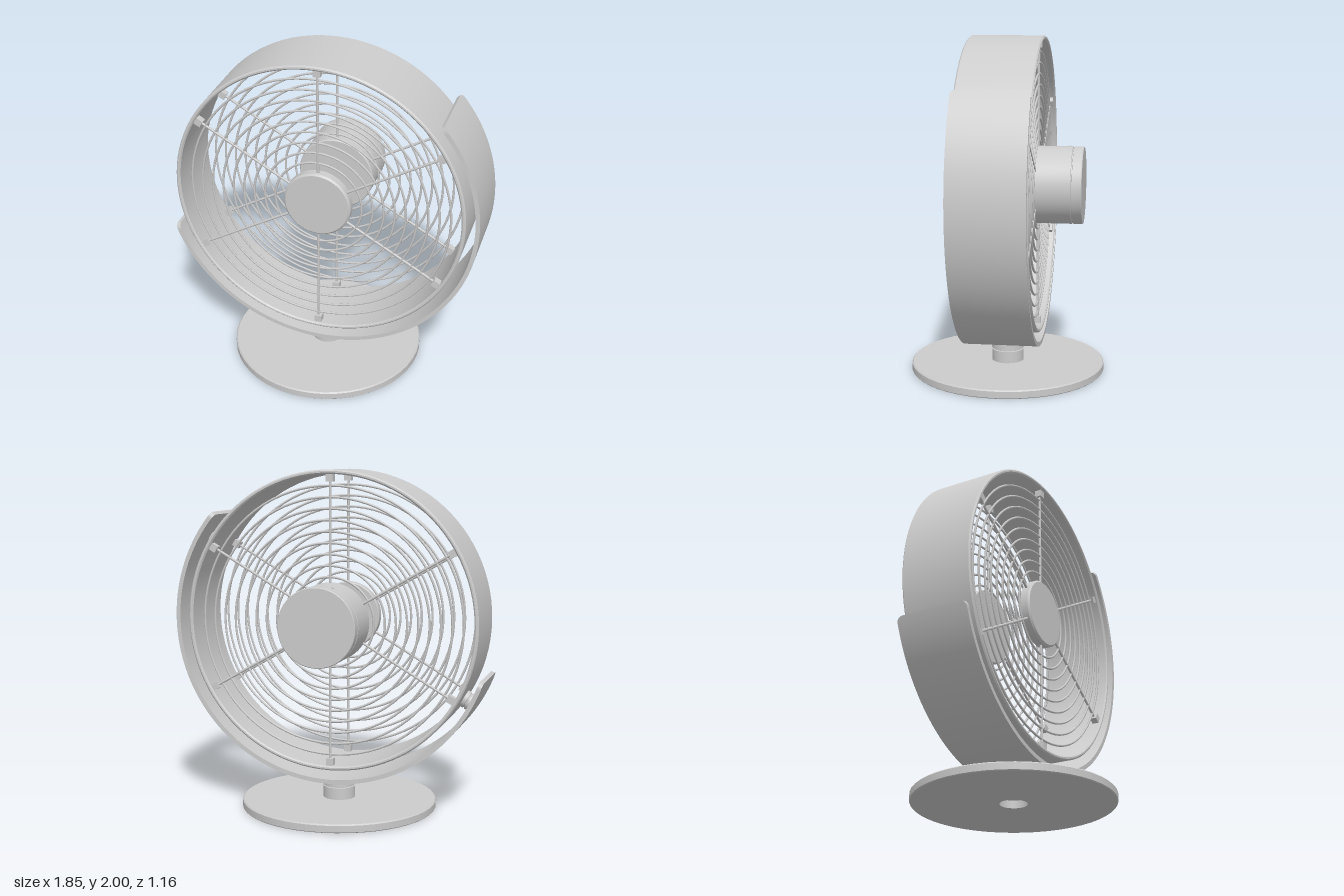
import * as THREE from 'three';
import { toCreasedNormals } from 'three/addons/utils/BufferGeometryUtils.js';

const CX = -0.03, CY = 1.13;          // fan axis
const HALF = 0.215;                   // half depth of the housing
const mat = new THREE.MeshStandardMaterial({ color: 0xcccccc });

function add(parent, name, geo) {
  const mesh = new THREE.Mesh(geo, mat);
  mesh.name = name;
  parent.add(mesh);
  return mesh;
}

// Turned part with crisp edges; profile is [radius, height], counter-clockwise
function turned(points, segments = 64) {
  const profile = points.map(([r, y]) => new THREE.Vector2(r, y));
  return toCreasedNormals(new THREE.LatheGeometry(profile, segments), 0.6);
}

// Turned part with its axis along z
const turnedZ = (points, segments) => turned(points, segments).rotateX(Math.PI / 2);

// Curved cradle strip: a box bent round the fan axis, with rounded corners
function cradleGeometry(inner, outer, from, to, corner) {
  const geo = new THREE.BoxGeometry(2, 2, 1, 128, 1, 1);
  const p = geo.attributes.position;
  const length = (to - from) * outer;
  for (let i = 0; i < p.count; i++) {
    const t = (1 - Math.cos(Math.PI * (p.getX(i) + 1) / 2)) / 2;
    const d = Math.min(corner, t * length, (1 - t) * length);
    const w = HALF - corner + Math.sqrt(Math.max(0, corner ** 2 - (corner - d) ** 2));
    const a = from + t * (to - from);
    const r = p.getZ(i) > 0 ? outer : inner;
    p.setXYZ(i, r * Math.cos(a), r * Math.sin(a), p.getY(i) * w);
  }
  return toCreasedNormals(geo, 0.6);
}

// Wire guard: concentric rings, six spokes and their end clips
function makeGrille(name, z, spokeStart) {
  const grille = new THREE.Group();
  grille.name = name;
  grille.position.z = z;
  for (let i = 0; i < 9; i++) {
    add(grille, 'guardRing', new THREE.TorusGeometry(0.26 + i * 0.065, 0.007, 6, 80));
  }
  for (let i = 0; i < 6; i++) {
    const arm = new THREE.Group();
    arm.name = 'spokeArm';
    arm.rotation.z = i * Math.PI / 3;
    const length = 0.83 - spokeStart;
    add(arm, 'spoke', new THREE.CylinderGeometry(0.008, 0.008, length, 8))
      .position.y = spokeStart + length / 2;
    add(arm, 'spokeClip', new THREE.BoxGeometry(0.042, 0.045, 0.04)).position.y = 0.825;
    grille.add(arm);
  }
  return grille;
}

export function createModel() {
  const model = new THREE.Group();
  model.name = 'deskFan';

  // Stand: base disc with a socket underneath, and a two-part stem
  const stand = new THREE.Group();
  stand.name = 'stand';
  stand.position.x = CX;
  model.add(stand);
  add(stand, 'base', turned([
    [0.08, 0], [0.575, 0], [0.58, 0.005], [0.58, 0.043], [0.573, 0.05],
    [0.08, 0.05], [0.08, 0],
  ], 48));
  add(stand, 'stem', turned([
    [0, 0.045], [0.095, 0.045], [0.095, 0.12], [0.089, 0.122], [0.089, 0.127],
    [0.097, 0.129], [0.097, 0.19], [0, 0.19],
  ], 40));

  const fan = new THREE.Group();
  fan.name = 'fan';
  fan.position.set(CX, CY, 0);
  model.add(fan);

  // Housing ring with softened rims
  add(fan, 'housing', turnedZ([
    [0.845, -HALF + 0.008], [0.853, -HALF], [0.862, -HALF], [0.87, -HALF + 0.008],
    [0.87, HALF - 0.008], [0.862, HALF], [0.853, HALF], [0.845, HALF - 0.008],
    [0.845, -HALF + 0.008],
  ], 96));

  // Cradle that carries the housing on two pivots
  const deg = Math.PI / 180;
  add(fan, 'cradle', cradleGeometry(0.925, 0.95, 199 * deg, 401 * deg, 0.035));
  for (const a of [30, 210]) {
    const pivot = new THREE.Group();
    pivot.name = 'pivot';
    pivot.rotation.z = (a - 90) * deg;
    add(pivot, 'pivotKnob', turned([
      [0, 0.85], [0.052, 0.85], [0.052, 0.89], [0.046, 0.892], [0.046, 0.898],
      [0.052, 0.9], [0.052, 0.93], [0, 0.93],
    ], 32));
    fan.add(pivot);
  }

  // Front and rear guards
  fan.add(makeGrille('frontGrille', 0.18, 0.18));
  fan.add(makeGrille('rearGrille', -0.18, 0.2));

  // Front hub
  add(fan, 'frontHub', turnedZ([
    [0, 0.15], [0.195, 0.15], [0.2, 0.155], [0.2, 0.2], [0.19, 0.21], [0, 0.21],
  ]));

  // Motor housing with a grooved rear cap
  add(fan, 'motor', turnedZ([
    [0, -0.45], [0.224, -0.45], [0.228, -0.446], [0.228, -0.394], [0.222, -0.392],
    [0.222, -0.387], [0.228, -0.385], [0.228, -0.164], [0.222, -0.158], [0, -0.158],
  ]));
  const screw = add(fan, 'motorScrew', new THREE.CylinderGeometry(0.008, 0.008, 0.01, 12));
  screw.position.set(-0.07, Math.sqrt(0.228 ** 2 - 0.07 ** 2), -0.365);
  screw.rotation.z = Math.asin(0.07 / 0.228);

  return model;
}
